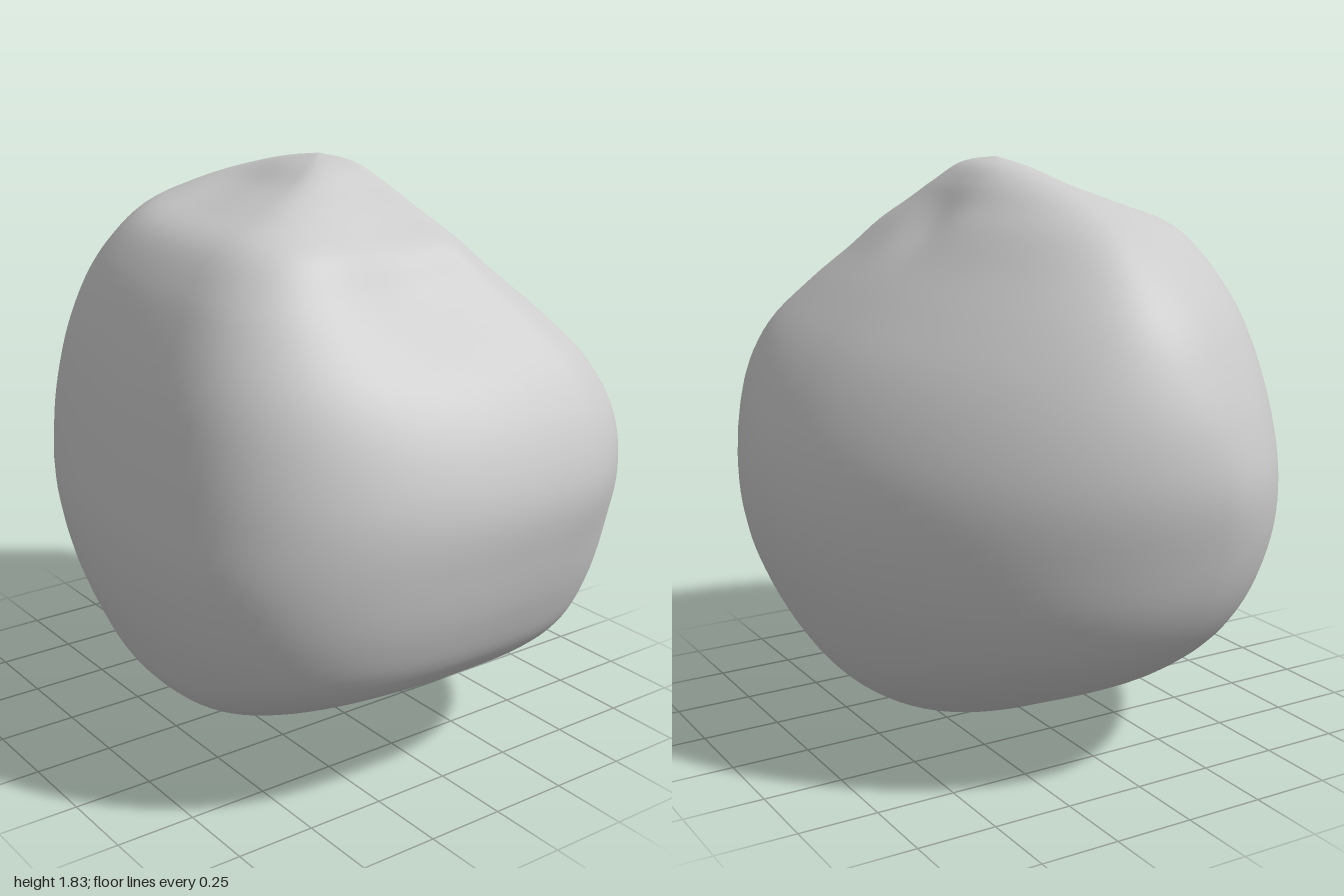
import * as THREE from 'three';
import { mergeVertices } from 'three/addons/utils/BufferGeometryUtils.js';

// Horizontal sections, bottom to top: y, left x, right x, back z, front z
const SECTIONS = [
  [0, 0, 0, -0.12, -0.12],
  [0.03, -0.11, 0.11, -0.3, 0.08],
  [0.1, -0.26, 0.27, -0.45, 0.34],
  [0.2, -0.47, 0.49, -0.58, 0.54],
  [0.31, -0.67, 0.7, -0.66, 0.68],
  [0.44, -0.83, 0.88, -0.72, 0.74],
  [0.58, -0.92, 0.945, -0.77, 0.78],
  [0.76, -0.975, 0.985, -0.8, 0.8],
  [0.94, -1, 1, -0.78, 0.78],
  [1.1, -0.975, 0.95, -0.72, 0.75],
  [1.25, -0.92, 0.86, -0.63, 0.71],
  [1.4, -0.84, 0.735, -0.5, 0.65],
  [1.52, -0.74, 0.64, -0.385, 0.585],
  [1.63, -0.61, 0.555, -0.285, 0.49],
  [1.7, -0.47, 0.43, -0.215, 0.34],
  [1.76, -0.31, 0.3, -0.16, 0.19],
  [1.81, -0.13, 0.2, -0.1, 0.08],
  [1.835, 0.06, 0.06, -0.02, -0.02],
];

// Shallow hollows: centre, radius, push
const DENTS = [
  { centre: new THREE.Vector3(0.52, 1.53, 0), r: 0.27, push: new THREE.Vector3(-0.05, -0.045, 0) },
  { centre: new THREE.Vector3(-0.12, 1.74, 0.16), r: 0.22, push: new THREE.Vector3(0, -0.025, -0.015) },
  { centre: new THREE.Vector3(0.05, 1.63, -0.27), r: 0.12, push: new THREE.Vector3(0, -0.015, 0.015) },
];

const QUARTER = 20;
const COLS = QUARTER * 4;
const ROWS = 80;

const bump = (y, mid, width) => Math.exp(-(((y - mid) / width) ** 2));

// Keeps a value within the middle part of a range
const within = (v, lo, hi) =>
  THREE.MathUtils.clamp(v, lo + 0.2 * (hi - lo), hi - 0.2 * (hi - lo));

// Point on a section outline made of four superelliptic quarter arcs:
// right to front, front to left, left to back, back to right
function outlinePoint([y, x0, x1, z0, z1], col) {
  const q = Math.floor(col / QUARTER);
  const a = (col / COLS) * Math.PI * 2;
  // The front corners get squarer towards the top
  const top = THREE.MathUtils.smoothstep(y, 0.9, 1.5);
  const n = [2.7 + 0.5 * top, 1.85 + 0.25 * top, 1.95, 2.6 - 0.4 * bump(y, 0.95, 0.3)][q];
  const onFront = q < 2, onRight = q === 0 || q === 3;
  // The widest point on the right swings backwards around mid height
  const cx = within(onFront ? 0.2 : 0.07, x0, x1);
  const cz = within(onRight ? -0.36 * bump(y, 1.18, 0.45) : 0.11 * bump(y, 0.85, 0.4), z0, z1);
  const u = Math.abs(Math.cos(a)) ** (2 / n);
  const v = Math.abs(Math.sin(a)) ** (2 / n);
  return new THREE.Vector3(
    THREE.MathUtils.lerp(cx, onRight ? x1 : x0, u),
    y,
    THREE.MathUtils.lerp(cz, onFront ? z1 : z0, v),
  );
}

function dent(p) {
  const offset = new THREE.Vector3();
  for (const { centre, r, push } of DENTS) {
    offset.addScaledVector(push, bump(p.distanceTo(centre), 0, r));
  }
  return p.add(offset);
}

function stoneGeometry() {
  // One smooth vertical curve per column through all sections
  const curves = Array.from({ length: COLS }, (_, j) =>
    new THREE.CatmullRomCurve3(SECTIONS.map((s) => outlinePoint(s, j))));
  const pos = [], index = [];
  for (let i = 0; i <= ROWS; i++) {
    for (let j = 0; j < COLS; j++) {
      pos.push(...dent(curves[j].getPoint(i / ROWS)).toArray());
      if (i === ROWS) continue;
      const a = i * COLS + j, b = i * COLS + ((j + 1) % COLS);
      index.push(a, a + COLS, b, a + COLS, b + COLS, b);
    }
  }
  const geo = new THREE.BufferGeometry();
  geo.setAttribute('position', new THREE.Float32BufferAttribute(pos, 3));
  geo.setIndex(index);
  // Welds both tips so the shading stays smooth there
  const welded = mergeVertices(geo, 1e-4);
  welded.computeVertexNormals();
  return welded;
}

export function createModel() {
  const group = new THREE.Group();
  group.name = 'rock';
  const stone = new THREE.Mesh(
    stoneGeometry(),
    new THREE.MeshStandardMaterial({ color: 0xcccccc }),
  );
  stone.name = 'stone';
  group.add(stone);
  return group;
}
